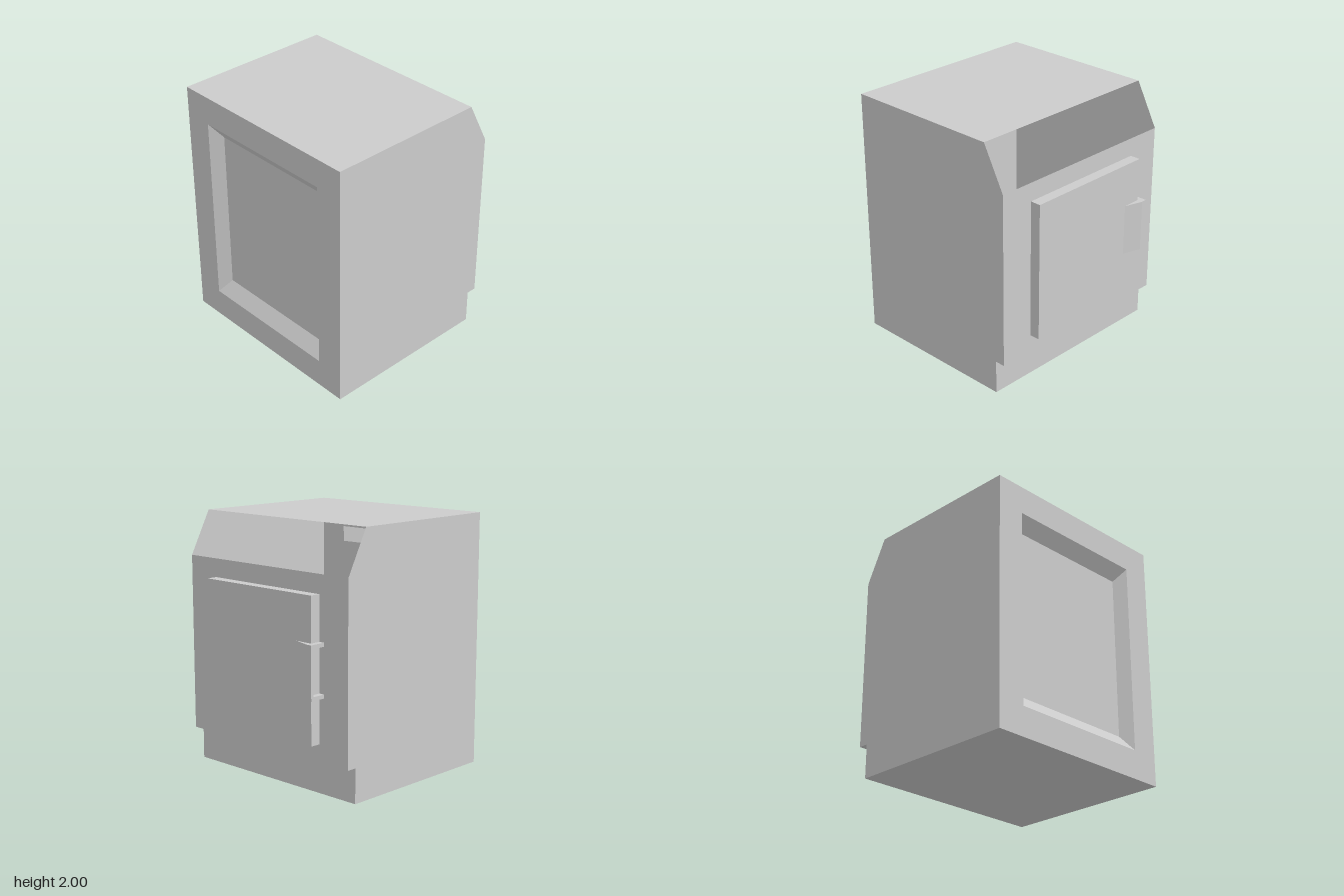
import * as THREE from 'three';

const grey = new THREE.MeshStandardMaterial({ color: 0xcccccc, flatShading: true });
const sheetGrey = new THREE.MeshStandardMaterial({ color: 0xcccccc, flatShading: true, side: THREE.DoubleSide });

const W = 0.83, FRONT = 0.805, BACK = -0.68, KICK = -0.6;

function add(parent, name, geometry, material = grey) {
  const mesh = new THREE.Mesh(geometry, material);
  mesh.name = name;
  parent.add(mesh);
  return mesh;
}

// Box given by its minimum and maximum corners
function block(parent, name, a, b) {
  const g = new THREE.BoxGeometry(b[0] - a[0], b[1] - a[1], b[2] - a[2]);
  g.translate((a[0] + b[0]) / 2, (a[1] + b[1]) / 2, (a[2] + b[2]) / 2);
  return add(parent, name, g);
}

// Flat four-cornered sheets, corners counter-clockwise from outside
function quads(list) {
  const g = new THREE.BufferGeometry();
  const pos = list.flatMap(([a, b, c, d]) => [a, b, c, a, c, d].flat());
  g.setAttribute('position', new THREE.Float32BufferAttribute(pos, 3));
  g.computeVertexNormals();
  return g;
}

const polygon = (pts) => new THREE.Shape(pts.map(([x, y]) => new THREE.Vector2(x, y)));
const rect = (hw, y0, y1) => [[-hw, y0], [hw, y0], [hw, y1], [-hw, y1]];

// Upright wall sheet with a tapered pocket sunk into it; dir is the outward z direction
function pocketWall(parent, name, z, y0, y1, outer, inner, depth, dir) {
  const shape = polygon(rect(W, y0, y1));
  shape.holes.push(polygon(outer));
  const wall = new THREE.ShapeGeometry(shape);
  if (dir < 0) wall.rotateY(Math.PI);
  wall.translate(0, 0, z);
  add(parent, name, wall, sheetGrey);

  const rim = outer.map(([x, y]) => [x * dir, y, z]);
  const floor = inner.map(([x, y]) => [x * dir, y, z - dir * depth]);
  const faces = rim.map((p, i) => {
    const j = (i + 1) % 4;
    return [p, rim[j], floor[j], floor[i]];
  });
  add(parent, name + 'Recess', quads([...faces, floor]), sheetGrey);
}

export function createModel() {
  const model = new THREE.Group();
  model.name = 'cabinet';

  // Hollow housing, left open along its sloped upper back edge
  const body = new THREE.Group();
  body.name = 'housing';
  model.add(body);

  const profile = [[FRONT, 0], [KICK, 0], [KICK, 0.27], [BACK, 0.27], [BACK, 1.66], [-0.5, 2], [FRONT, 2]];
  for (const [name, side] of [['leftSide', 1], ['rightSide', -1]]) {
    const g = new THREE.ShapeGeometry(polygon(profile.map(([z, y]) => [-side * z, y])));
    g.rotateY(side * Math.PI / 2).translate(side * W, 0, 0);
    add(body, name, g, sheetGrey);
  }

  // Sheets spanning the width between two profile points
  for (const [name, i] of [['base', 0], ['kickPlate', 1], ['kickLedge', 2], ['top', 5]]) {
    const [z0, y0] = profile[i], [z1, y1] = profile[i + 1];
    add(body, name, quads([[[-W, y0, z0], [-W, y1, z1], [W, y1, z1], [W, y0, z0]]]), sheetGrey);
  }

  pocketWall(body, 'front', FRONT, 0, 2, rect(0.6, 0.23, 1.775), rect(0.52, 0.34, 1.665), 0.083, 1);
  pocketWall(body, 'back', BACK, 0.27, 1.66, rect(0.395, 0.56, 1.36), rect(0.34, 0.62, 1.3), 0.165, -1);

  // Door covering the rear pocket
  block(model, 'door', [-0.55, 0.41, -0.765], [0.55, 1.515, BACK]);

  // Handle: wedge-shaped grip with two tabs returning to the housing
  const handle = new THREE.Group();
  handle.name = 'handle';
  model.add(handle);
  const y0 = 0.76, y1 = 1.17, t = 0.03;
  const grip = polygon([[-0.4, 0.765], [-0.55, 0.765], [-0.55, 0.785], [-0.595, 0.785], [-0.595, 0.81], [-0.55, 0.81]]);
  const gripGeo = new THREE.ExtrudeGeometry(grip, { depth: y1 - y0, bevelEnabled: false });
  gripGeo.rotateX(-Math.PI / 2).translate(0, y0, 0);
  add(handle, 'grip', gripGeo);
  for (const y of [y0, y1 - t]) {
    block(handle, 'tab', [-0.595, y, -0.785], [-0.55, y + t, BACK]);
  }
  return model;
}
